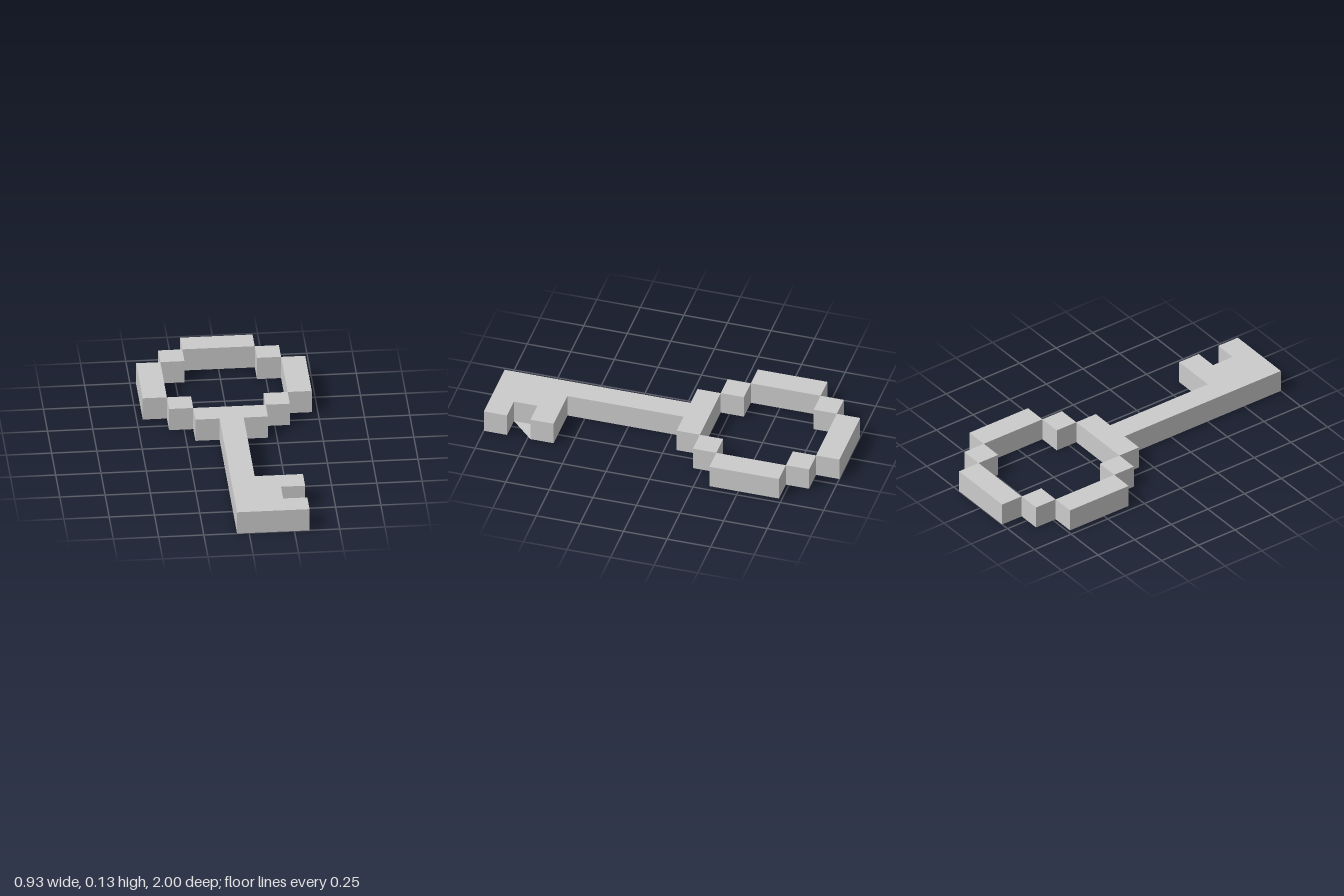
import * as THREE from 'three';

const U = 2 / 15; // one block of the pixel grid
const material = new THREE.MeshStandardMaterial({ color: 0xcccccc, flatShading: true });
const thin = new THREE.MeshStandardMaterial({ color: 0xcccccc, side: THREE.DoubleSide });

// Outline in grid units (x, row from the back) laid flat in the xz plane
const outline = (points) =>
  new THREE.Shape(points.map(([x, row]) => new THREE.Vector2(x * U, (row - 7.5) * U)));

export function createModel() {
  const group = new THREE.Group();
  const add = (name, geometry, mat = material) => {
    const mesh = new THREE.Mesh(geometry, mat);
    mesh.name = name;
    group.add(mesh);
    return mesh;
  };
  const block = (name, x, row, width, length) =>
    add(name, new THREE.BoxGeometry(width * U, U, length * U))
      .position.set(x * U, U / 2, (row + length / 2 - 7.5) * U);

  // Ring of the bow, in blocks
  block('bowBackBar', 0, 0, 3, 1);
  for (const [side, s] of [['left', 1], ['right', -1]]) {
    block(side + 'BowBackCorner', s * 2, 1, 1, 1);
    block(side + 'BowSide', s * 3, 2, 1, 3);
    block(side + 'BowFrontCorner', s * 2, 5, 1, 1);
  }

  // Front bar of the bow, shaft and two-toothed bit in one piece
  const shaft = new THREE.ExtrudeGeometry(outline([
    [-1.5, 6], [1.5, 6], [1.5, 7], [0.5, 7], [0.5, 12], [2.5, 12], [2.5, 13],
    [1.5, 13], [1.5, 14], [2.5, 14], [2.5, 15], [-0.5, 15], [-0.5, 7], [-1.5, 7],
  ]), { depth: U, bevelEnabled: false });
  add('shaftAndBit', shaft.rotateX(Math.PI / 2).translate(0, U, 0));

  // Thin web across the notch, flush with the underside
  const web = new THREE.ShapeGeometry(outline([[1.5, 13], [2.5, 13], [1.5, 14]]));
  add('notchWeb', web.rotateX(Math.PI / 2), thin);

  return group;
}
